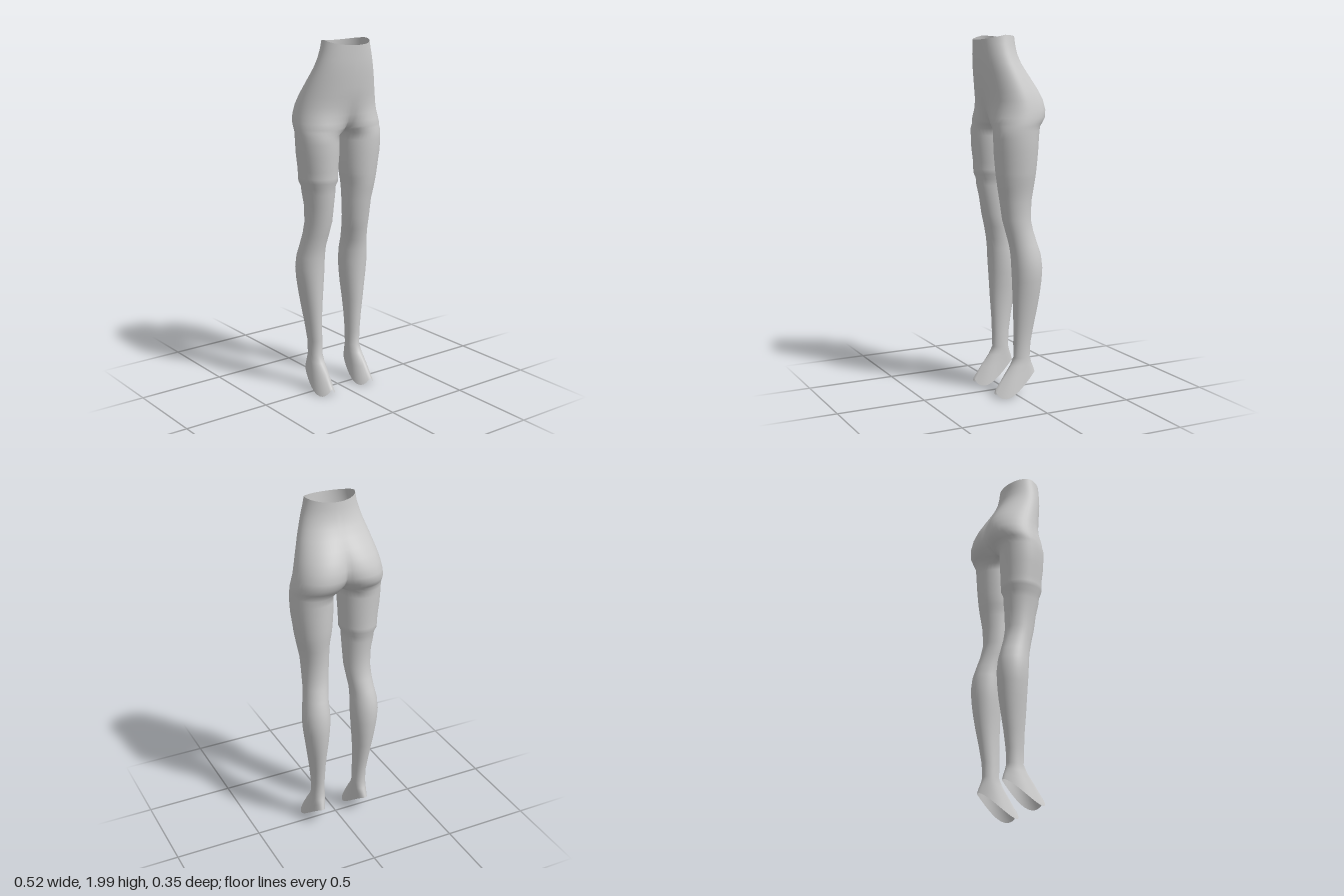
import * as THREE from 'three';
import { mergeVertices } from 'three/addons/utils/BufferGeometryUtils.js';

const N = 36;            // points around one leg
const ARC = 30;          // the first 30 segments also form half of the hips
const S = Math.sin(Math.PI / 3);
const mix = THREE.MathUtils.lerp;

// hips: y, half width, front z, back z, front groin depth, back cleft depth (0..1)
const HIPS = [
  [2.0, 0.14, 0.175, -0.035, 0, 0],
  [1.95, 0.15, 0.174, -0.038, 0, 0],
  [1.9, 0.165, 0.172, -0.046, 0, 0],
  [1.85, 0.18, 0.169, -0.065, 0, 0.05],
  [1.8, 0.197, 0.163, -0.093, 0, 0.12],
  [1.75, 0.212, 0.157, -0.123, 0, 0.2],
  [1.7, 0.227, 0.149, -0.15, 0.03, 0.3],
  [1.65, 0.24, 0.138, -0.169, 0.1, 0.4],
  [1.6, 0.25, 0.13, -0.176, 0.25, 0.5],
  [1.56, 0.257, 0.128, -0.168, 0.5, 0.7],
  [1.53, 0.26, 0.128, -0.148, 0.8, 0.9],
  [1.515, 0.26, 0.128, -0.137, 1, 1],
];
// leg: y, inner x, outer x, front z, back z
const LEG = [
  [1.49, 0.024, 0.26, 0.13, -0.126],
  [1.45, 0.024, 0.26, 0.13, -0.122],
  [1.38, 0.025, 0.256, 0.128, -0.119],
  [1.3, 0.03, 0.245, 0.12, -0.114],
  [1.26, 0.034, 0.24, 0.116, -0.11],
  [1.235, 0.037, 0.236, 0.113, -0.107],
  [1.205, 0.043, 0.23, 0.109, -0.103],
  [1.17, 0.047, 0.223, 0.104, -0.098],
  [1.1, 0.05, 0.21, 0.09, -0.089],
  [1.0, 0.055, 0.205, 0.075, -0.086],
  [0.93, 0.064, 0.207, 0.057, -0.1],
  [0.86, 0.074, 0.214, 0.041, -0.122],
  [0.8, 0.073, 0.225, 0.032, -0.14],
  [0.73, 0.071, 0.23, 0.028, -0.148],
  [0.66, 0.075, 0.224, 0.024, -0.145],
  [0.58, 0.082, 0.212, 0.021, -0.137],
  [0.5, 0.09, 0.2, 0.018, -0.124],
  [0.4, 0.095, 0.185, 0.013, -0.105],
  [0.3, 0.096, 0.173, 0.012, -0.089],
  [0.22, 0.095, 0.172, 0.01, -0.085],
];
// foot: front y, back y, inner x, outer x, front z, back z, side droop, widening at the toes
const FOOT = [
  [0.175, 0.185, 0.094, 0.175, 0.033, -0.095, 0, 0],
  [0.12, 0.158, 0.09, 0.184, 0.078, -0.106, 0.025, 0.15],
  [0.05, 0.13, 0.082, 0.196, 0.13, -0.115, 0.078, 0.3],
];

const angle = j => ((j * 360) / N - 60) * Math.PI / 180;

function hipRing([y, w, zf, zb, kf, kb], row) {
  const zc = (zf + zb) / 2, r = (zf - zb) / 2;
  return Array.from({ length: N }, (_, j) => {
    const a = angle(j), inner = j > ARC;
    if (inner) return [0, y, zc + r * Math.cos(a)];
    const t = Math.PI * j / ARC;
    const k = j < ARC / 2 ? kf : kb;
    const x = w * mix(Math.sin(t), (Math.sin(a) + S) / (1 + S), k);
    const z = zc + r * mix(Math.cos(t), Math.cos(a), k) / (1 - 0.37 * k * (1 - k));
    // the waist edge dips at the front and slightly at the back
    const c = Math.cos(t);
    const dip = row === 0 ? (c > 0 ? 0.025 * c : 0.013 * c * c) : 0;
    return [Math.max(0, x), y - dip, z];
  });
}

function legRing([yf, yb, x0, x1, zf, zb, droop, widen], scale = 1) {
  const cx = (x0 + x1) / 2, rx = scale * (x1 - x0) / 2;
  const zc = (zf + zb) / 2, rz = scale * (zf - zb) / 2;
  return Array.from({ length: N }, (_, j) => {
    const s = Math.sin(angle(j)), c = Math.cos(angle(j));
    const y = mix(yb, yf, (c + 1) / 2) - droop * Math.abs(s) * 0.6 * (1 + c);
    return [cx + rx * s * (1 + widen * c), y, zc + rz * c];
  });
}

// one half of the body; side is +1 for the left, -1 for the right
function addHalf(out, side) {
  // the right thigh has a soft raised band with a crease below it
  const band = y => side > 0 ? 1 : y === 1.26 ? 1.03 : y === 1.235 ? 1.05 : y === 1.205 ? 0.97 : 1;
  const rings = [
    ...HIPS.map(hipRing),
    ...LEG.map(([y, ...rest]) => legRing([y, y, ...rest, 0, 0], band(y))),
    ...FOOT.map(f => legRing(f)),
  ];
  const tri = (...pts) => {
    if (side < 0) pts.reverse();
    for (const [x, y, z] of pts) out.push(side * x, y, z);
  };
  for (let i = 0; i < rings.length - 1; i++) {
    const count = i < HIPS.length - 1 ? ARC : N;
    for (let j = 0; j < count; j++) {
      const n = (j + 1) % N;
      const a = rings[i][j], b = rings[i][n], c = rings[i + 1][j], d = rings[i + 1][n];
      tri(a, c, b);
      tri(b, c, d);
    }
  }
}

export function createModel() {
  const model = new THREE.Group();
  model.name = 'legwear';
  const fabric = new THREE.MeshStandardMaterial({ color: 0xcccccc, side: THREE.DoubleSide });
  fabric.name = 'light grey fabric';

  const points = [];
  addHalf(points, 1);
  addHalf(points, -1);
  let geometry = new THREE.BufferGeometry();
  geometry.setAttribute('position', new THREE.Float32BufferAttribute(points, 3));
  geometry = mergeVertices(geometry, 1e-4);
  geometry.computeVertexNormals();

  const mesh = new THREE.Mesh(geometry, fabric);
  mesh.name = 'hipsAndLegs';
  model.add(mesh);
  return model;
}
